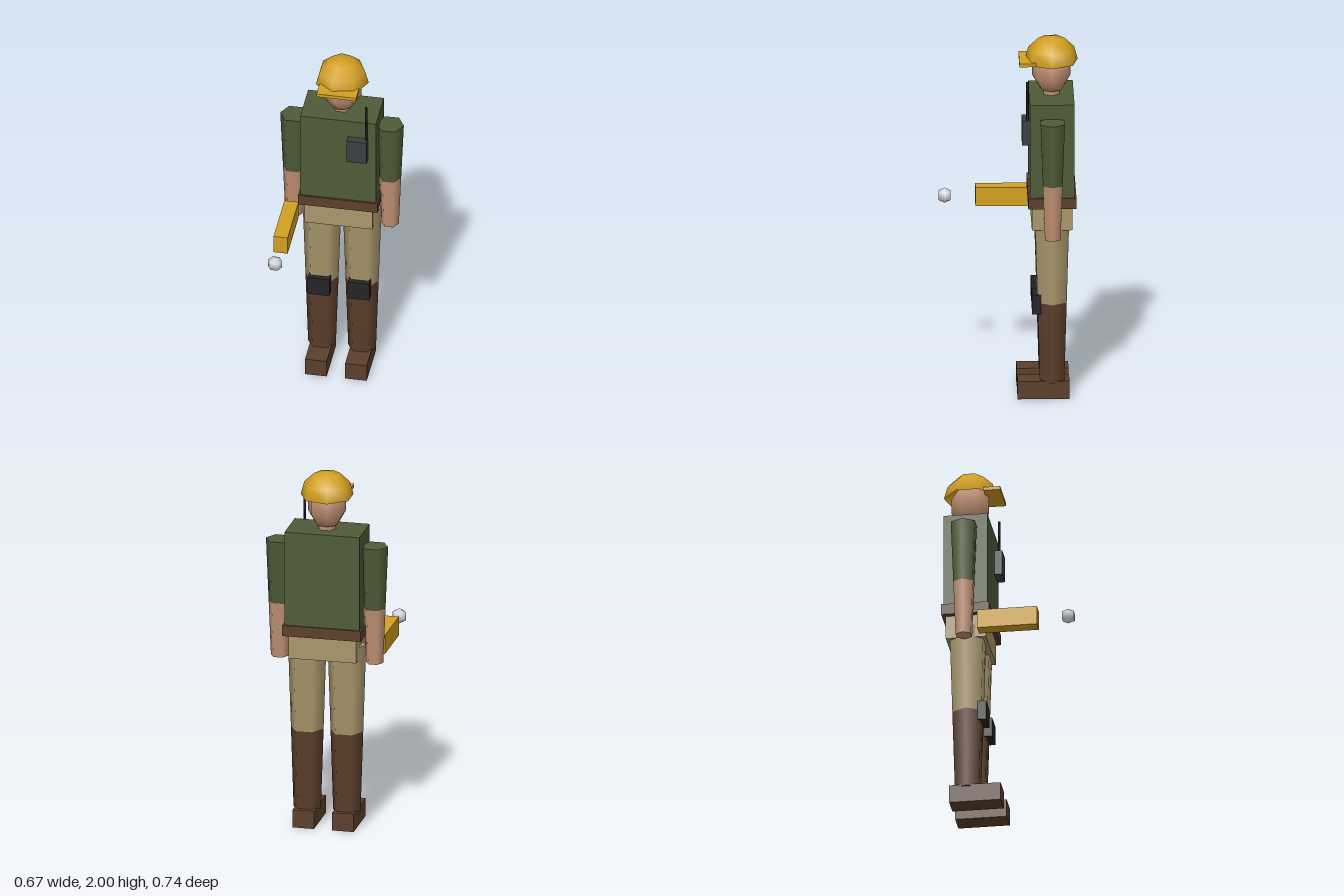
import * as THREE from 'three';

const mat = (name, color, side = THREE.FrontSide) => {
  const m = new THREE.MeshStandardMaterial({ color, side });
  m.name = name;
  return m;
};

export function createModel() {
  const model = new THREE.Group();
  model.name = 'worker';
  const green = mat('shirt green', 0x4f5b38);
  const skin = mat('skin', 0xc09072);
  const khaki = mat('trouser khaki', 0xa9976c);
  const brown = mat('leather brown', 0x5c3f2c);
  const yellow = mat('safety yellow', 0xd2a021, THREE.DoubleSide);
  const black = mat('pad black', 0x242424);
  const grey = mat('radio grey', 0x3a3f42);
  const white = mat('lamp white', 0xd6d8dc);
  const Z = -0.229; // depth of the body axis

  const add = (name, geometry, material, x, y, z) => {
    const mesh = new THREE.Mesh(geometry, material);
    mesh.name = name;
    mesh.position.set(x, y, z);
    model.add(mesh);
    return mesh;
  };
  // box given by its extents on each axis
  const box = (name, material, [x0, x1], [y0, y1], [z0, z1]) =>
    add(name, new THREE.BoxGeometry(x1 - x0, y1 - y0, z1 - z0), material,
      (x0 + x1) / 2, (y0 + y1) / 2, (z0 + z1) / 2);
  // six-sided tapered limb with corners pointing to the sides
  const limb = (name, material, x, y0, y1, r0, r1) =>
    add(name, new THREE.CylinderGeometry(r1, r0, y1 - y0, 6, 1, false, Math.PI / 2),
      material, x, (y0 + y1) / 2, Z);

  // trunk
  box('torso', green, [-0.206, 0.206], [1.15, 1.675], [-0.348, -0.11]);
  box('belt', brown, [-0.216, 0.216], [1.09, 1.15], [-0.358, -0.1]);
  box('hips', khaki, [-0.185, 0.185], [0.96, 1.09], [-0.338, -0.12]);

  // limbs, mirrored
  for (const [side, s] of [['left', 1], ['right', -1]]) {
    const lx = 0.109 * s, ax = 0.261 * s;
    limb(side + 'Trouser', khaki, lx, 0.54, 1.03, 0.09, 0.106);
    limb(side + 'Boot', brown, lx, 0.09, 0.54, 0.0755, 0.09);
    box(side + 'Shoe', brown, [lx - 0.059, lx + 0.059], [0, 0.1], [-0.322, -0.044]);
    box(side + 'KneePad', black, [lx - 0.059, lx + 0.059], [0.48, 0.588], [-0.169, -0.122]);
    limb(side + 'Sleeve', green, ax, 1.245, 1.595, 0.0605, 0.075);
    limb(side + 'Forearm', skin, ax, 0.937, 1.245, 0.048, 0.0605);
  }

  // neck and seven-sided head
  limb('neck', skin, 0, 1.66, 1.75, 0.049, 0.049);
  const head = add('head', new THREE.SphereGeometry(0.11, 7, 5), skin, 0, 1.812, Z);
  head.scale.y = 1.22;
  head.rotation.y = Math.PI;

  // helmet: open dome with a peak
  const dome = add('helmetDome',
    new THREE.SphereGeometry(0.145, 7, 3, 0, Math.PI * 2, 0, Math.PI / 2), yellow, 0, 1.858, Z);
  dome.scale.y = 0.98;
  dome.rotation.y = Math.PI;
  box('helmetPeak', yellow, [-0.108, 0.108], [1.858, 1.877], [-0.145, -0.055]);

  // chest radio with a thin three-sided antenna
  box('radio', grey, [0.054, 0.162], [1.435, 1.573], [-0.115, -0.068]);
  add('antenna', new THREE.CylinderGeometry(0.008, 0.008, 0.22, 3, 1, false, Math.PI / 2),
    black, 0.153, 1.68, -0.097);

  // hand torch and its floating lamp
  box('torch', yellow, [-0.3, -0.223], [0.96, 1.065], [-0.152, 0.172]);
  add('lamp', new THREE.SphereGeometry(0.043, 6, 3), white, -0.262, 1.011, 0.337);

  return model;
}
